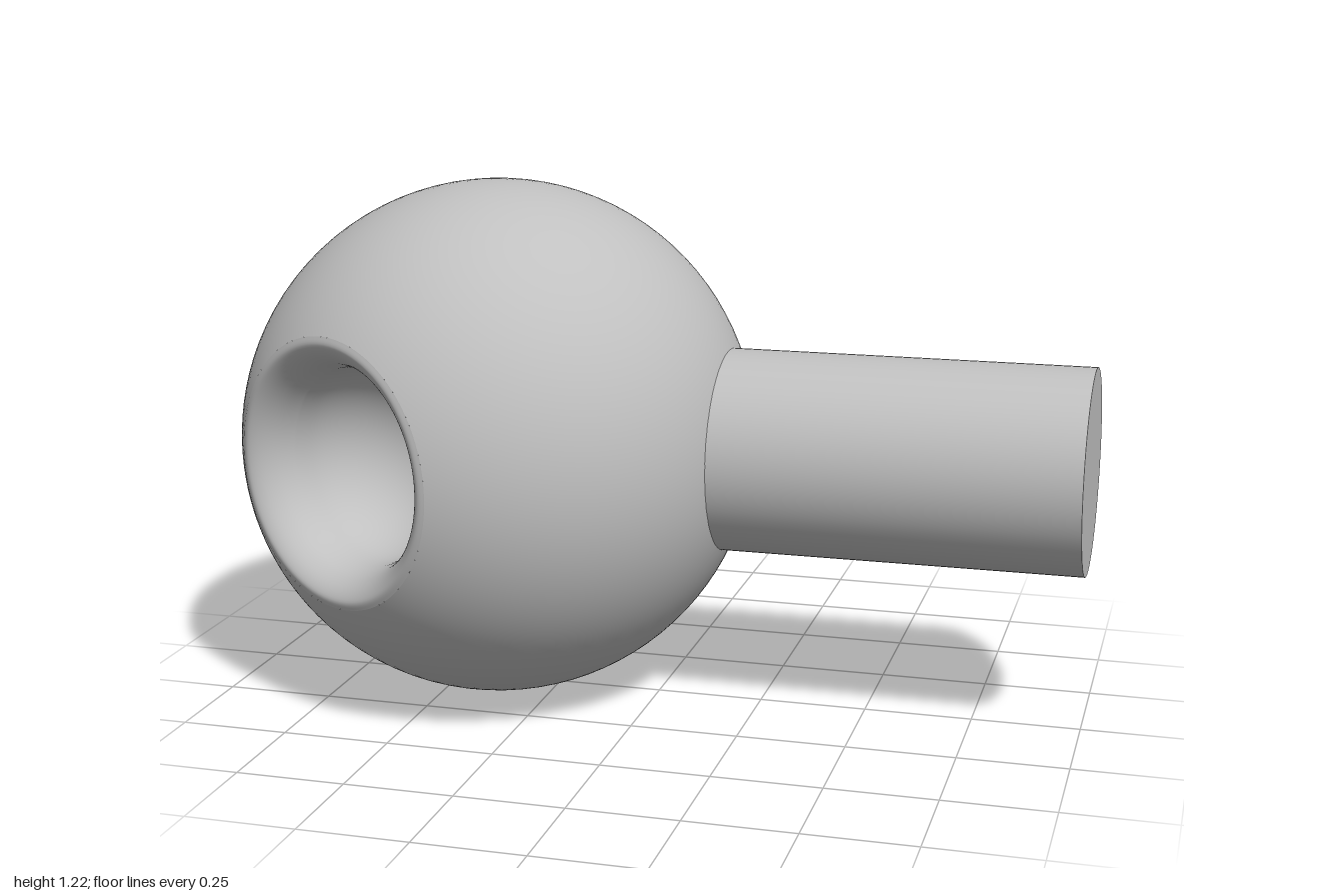
import * as THREE from 'three';

const R = 0.608;
const CENTER = new THREE.Vector3(-0.392, R, 0);
const FRONT_AXIS = new THREE.Vector3(-0.455, 0, 0.89).normalize();
const REAR_AXIS = new THREE.Vector3(-0.55, -0.58, -0.6).normalize();
const FRONT_RADIUS = 0.31; // outer edge of the rounded front socket
const REAR_RADIUS = 0.183; // sharp edge of the rear socket

// Sphere with two round openings: nested circles swept from one opening to the other
function openSphere(axisA, radiusA, axisB, radiusB, rings = 80, sides = 96) {
  const end = axisB.clone().negate();
  const u = axisA.clone().cross(end).normalize();
  const turn = axisA.angleTo(end);
  const a0 = Math.asin(radiusA / R), a1 = Math.PI - Math.asin(radiusB / R);
  const pos = [], nor = [], idx = [];
  for (let i = 0; i <= rings; i++) {
    const s = i / rings;
    const axis = axisA.clone().applyAxisAngle(u, turn * s);
    const v = axis.clone().cross(u);
    const cap = a0 + (a1 - a0) * s;
    for (let j = 0; j <= sides; j++) {
      const f = (j / sides) * Math.PI * 2;
      const n = axis.clone().multiplyScalar(Math.cos(cap))
        .addScaledVector(u, Math.sin(cap) * Math.cos(f))
        .addScaledVector(v, Math.sin(cap) * Math.sin(f));
      nor.push(n.x, n.y, n.z);
      pos.push(n.x * R, n.y * R, n.z * R);
      if (i < rings && j < sides) {
        const a = i * (sides + 1) + j, b = a + sides + 1;
        idx.push(a, b, a + 1, b, b + 1, a + 1);
      }
    }
  }
  const g = new THREE.BufferGeometry();
  g.setAttribute('position', new THREE.Float32BufferAttribute(pos, 3));
  g.setAttribute('normal', new THREE.Float32BufferAttribute(nor, 3));
  g.setIndex(idx);
  return g;
}

// Hollow with a round bottom; the rim points run from the sphere surface inward
function socket(name, axis, rim, radius, bowlHeight, material) {
  const pts = rim.map(([r, h]) => new THREE.Vector2(r, h));
  for (let i = 0; i <= 20; i++) {
    const t = (i / 20) * Math.PI / 2;
    pts.push(new THREE.Vector2(i === 20 ? 0 : radius * Math.cos(t), bowlHeight - radius * Math.sin(t)));
  }
  const mesh = new THREE.Mesh(new THREE.LatheGeometry(pts, 96), material);
  mesh.name = name;
  mesh.quaternion.setFromUnitVectors(new THREE.Vector3(0, 1, 0), axis);
  mesh.position.copy(CENTER);
  return mesh;
}

export function createModel() {
  const group = new THREE.Group();
  group.name = 'ballKnob';
  const gray = new THREE.MeshStandardMaterial({ color: 0xc0c0c0 });
  gray.name = 'light gray';

  // Ball
  const ball = new THREE.Mesh(openSphere(FRONT_AXIS, FRONT_RADIUS, REAR_AXIS, REAR_RADIUS), gray);
  ball.name = 'ball';
  ball.position.copy(CENTER);
  group.add(ball);

  // Front socket with a rounded lip
  const lip = new THREE.SplineCurve([
    [FRONT_RADIUS, Math.sqrt(R * R - FRONT_RADIUS ** 2)],
    [0.29, 0.527], [0.265, 0.51], [0.243, 0.478], [0.228, 0.435],
  ].map(([r, h]) => new THREE.Vector2(r, h))).getPoints(20).map((p) => [p.x, p.y]);
  group.add(socket('frontSocket', FRONT_AXIS, lip, 0.225, 0.41, gray));

  // Rear socket with a sharp edge
  const edge = Math.sqrt(R * R - REAR_RADIUS ** 2);
  group.add(socket('rearSocket', REAR_AXIS, [[REAR_RADIUS, edge]], REAR_RADIUS, edge - 0.1, gray));

  // Stem, its inner end buried in the ball
  const stem = new THREE.Mesh(new THREE.CylinderGeometry(0.235, 0.235, 0.9, 64), gray);
  stem.name = 'stem';
  stem.rotation.z = -Math.PI / 2;
  stem.position.set(0.55, R, 0);
  group.add(stem);

  return group;
}
